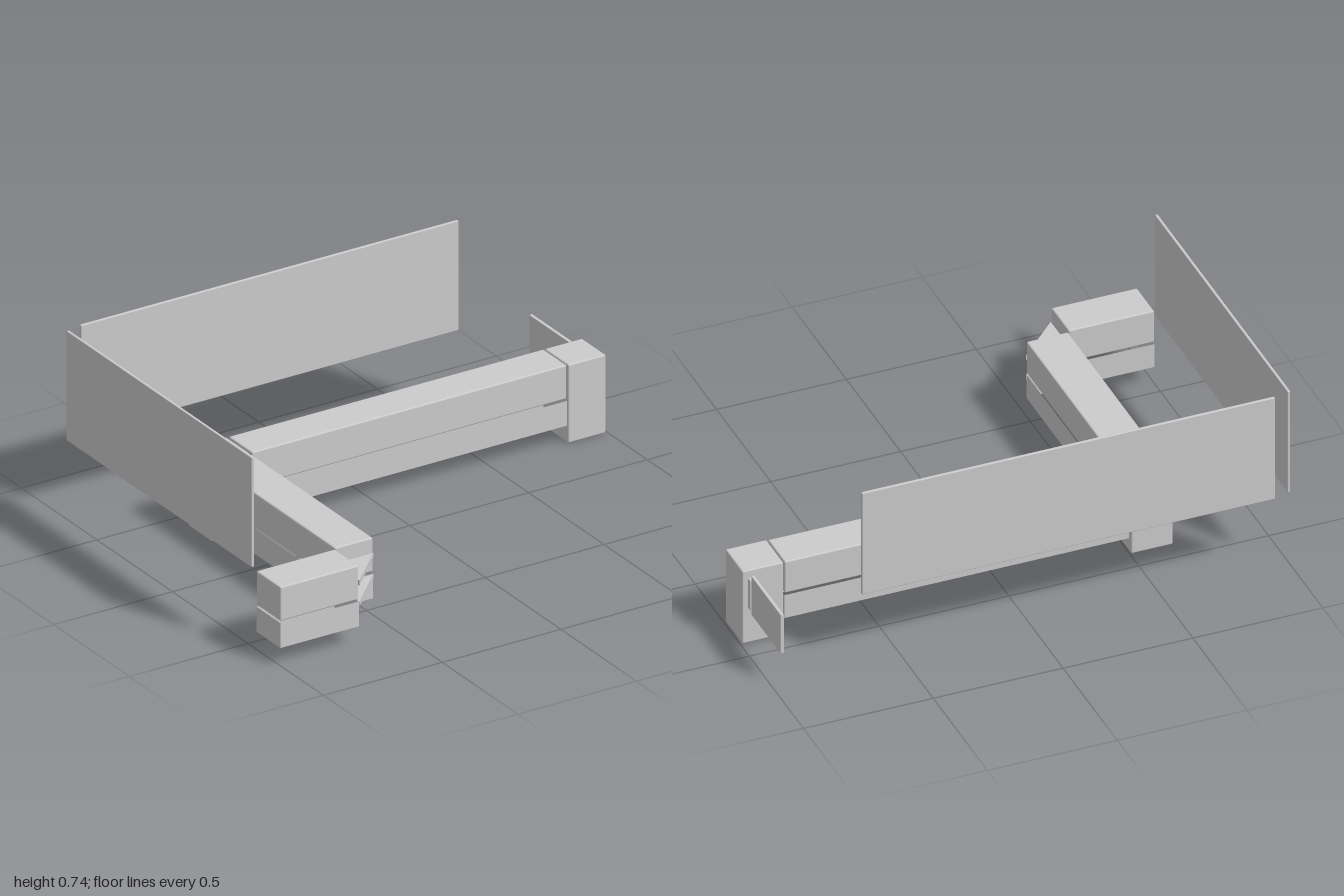
import * as THREE from 'three';
import { RoundedBoxGeometry } from 'three/addons/geometries/RoundedBoxGeometry.js';

const solid = new THREE.MeshStandardMaterial({ color: 0xcccccc });
const open = new THREE.MeshStandardMaterial({ color: 0xcccccc, flatShading: true, side: THREE.DoubleSide });

export function createModel() {
  const model = new THREE.Group();

  const add = (name, geometry, material = solid) => {
    const mesh = new THREE.Mesh(geometry, material);
    mesh.name = name;
    model.add(mesh);
    return mesh;
  };

  // Softly edged block given by its extents
  const block = (name, x0, x1, y0, y1, z0, z1, radius = 0.006) => {
    const mesh = add(name, new RoundedBoxGeometry(x1 - x0, y1 - y0, z1 - z0, 2, radius));
    mesh.position.set((x0 + x1) / 2, (y0 + y1) / 2, (z0 + z1) / 2);
  };

  // Four thin walls without top or bottom
  const skirt = (name, x0, x1, y0, y1, z0, z1) => {
    const geometry = new THREE.CylinderGeometry(Math.SQRT1_2, Math.SQRT1_2, 1, 4, 1, true, Math.PI / 4);
    geometry.scale(x1 - x0, y1 - y0, z1 - z0);
    geometry.translate((x0 + x1) / 2, (y0 + y1) / 2, (z0 + z1) / 2);
    add(name, geometry, open);
  };

  // Counter runs: rounded upper beam over a plain skirt
  const runs = [
    ['mainRun', -0.495, 0.83, -0.42, -0.265],
    ['sideRun', -0.665, -0.505, -0.255, 0.55],
    ['endRun', -1, -0.67, 0.555, 0.715],
  ];
  for (const [name, x0, x1, z0, z1] of runs) {
    block(name + 'Beam', x0, x1, 0.175, 0.31, z0, z1);
    skirt(name + 'Skirt', x0, x1, 0.07, 0.168, z0, z1);
  }

  // Posts standing on the ground
  block('cornerPost', -0.665, -0.505, 0, 0.31, -0.42, -0.265);
  block('endPost', 0.835, 0.993, 0, 0.31, -0.42, -0.262);

  // Triangular plates joining the side run to the end run
  const triangle = new THREE.Shape([
    new THREE.Vector2(-0.668, -0.552),
    new THREE.Vector2(-0.668, -0.715),
    new THREE.Vector2(-0.505, -0.552),
  ]);
  for (const y of [0.146, 0.23]) {
    const geometry = new THREE.ExtrudeGeometry(triangle, { depth: 0.02, bevelEnabled: false });
    geometry.rotateX(-Math.PI / 2);
    add('cornerPlate', geometry).position.y = y;
  }

  // Tall thin panels behind and beside the counter
  block('backPanel', -0.933, 0.657, 0.31, 0.743, -0.721, -0.709, 0.003);
  block('sidePanel', -1, -0.989, 0.31, 0.743, -0.702, 0.524, 0.003);

  // Swinging flap and its hinge on the end post
  block('flapHinge', 0.945, 0.972, 0.15, 0.277, -0.44, -0.418, 0.003);
  block('flap', 0.953, 0.966, 0.13, 0.295, -0.708, -0.436, 0.002);

  return model;
}
